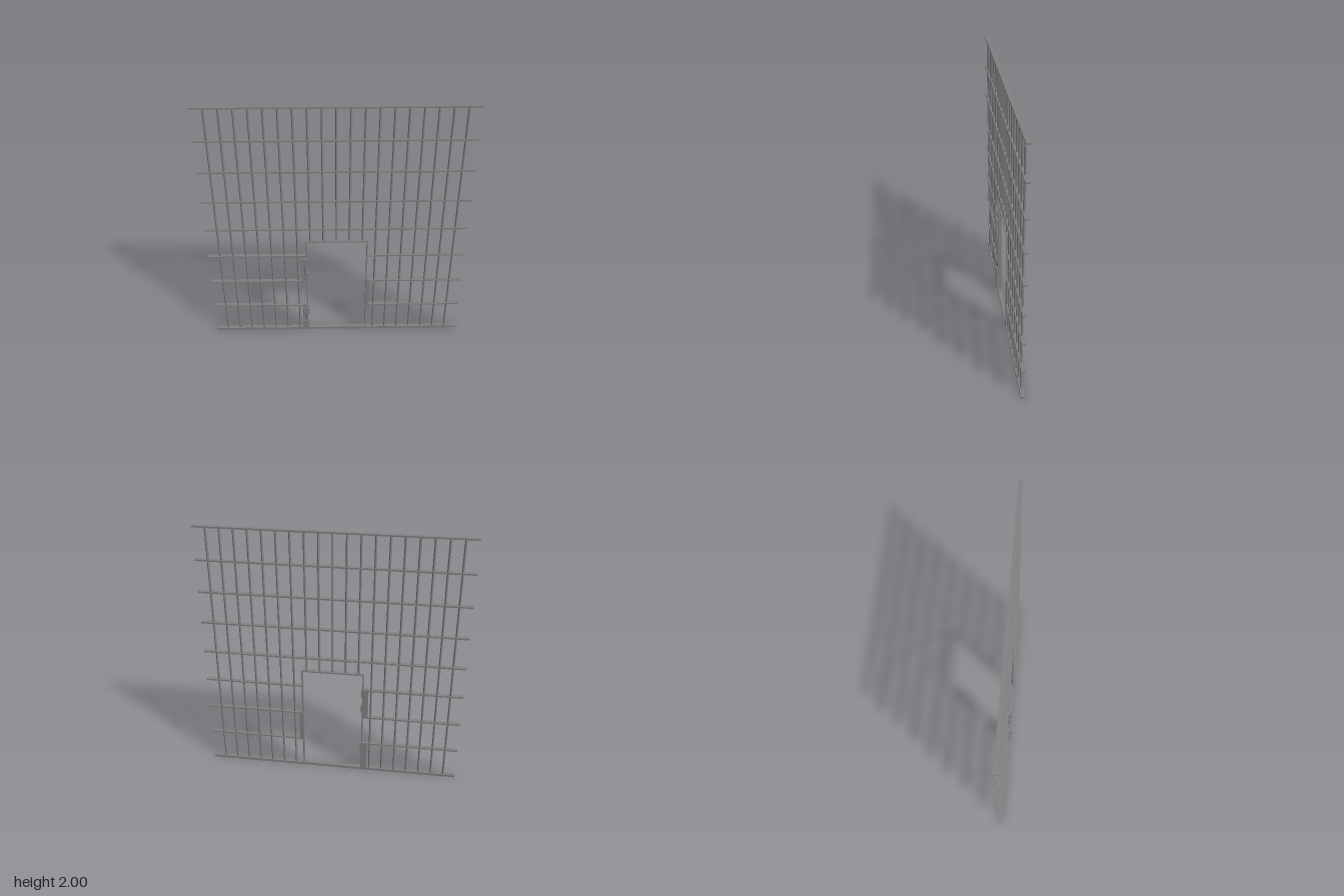
import * as THREE from 'three';

const material = new THREE.MeshStandardMaterial({ color: 0x808080 });
const BACK = -0.024, FRONT = 0.006, MID = (BACK + FRONT) / 2;

// Box given by its extents on each axis
function box(parent, name, x0, x1, y0, y1, z0 = BACK, z1 = FRONT) {
  const mesh = new THREE.Mesh(new THREE.BoxGeometry(x1 - x0, y1 - y0, z1 - z0), material);
  mesh.position.set((x0 + x1) / 2, (y0 + y1) / 2, (z0 + z1) / 2);
  mesh.name = name;
  parent.add(mesh);
}

// Upright round rod
function rod(parent, name, x, y0, y1, z, radius) {
  const mesh = new THREE.Mesh(new THREE.CylinderGeometry(radius, radius, y1 - y0, 12), material);
  mesh.position.set(x, (y0 + y1) / 2, z);
  mesh.name = name;
  parent.add(mesh);
}

// Hinge: two knuckle blocks with bolts, joined by a pin
function hinge(y0, y1) {
  const group = new THREE.Group();
  group.name = 'hinge';
  const blockHeight = 0.066;
  for (const y of [y0, y1 - blockHeight]) {
    box(group, 'hingeBlock', -0.274, -0.219, y, y + blockHeight, FRONT, 0.016);
    const bolt = new THREE.Mesh(new THREE.CylinderGeometry(0.014, 0.014, 0.008, 6), material);
    bolt.rotation.x = Math.PI / 2;
    bolt.position.set(-0.246, y + blockHeight / 2, 0.02);
    bolt.name = 'hingeBolt';
    group.add(bolt);
  }
  rod(group, 'hingePin', -0.24, y0, y1, 0.015, 0.009);
  return group;
}

export function createModel() {
  const model = new THREE.Group();
  model.name = 'barredWall';
  const halfWidth = 0.992, doorHalf = 0.24, doorTop = 0.895, pitch = 0.0997;

  // Sill and horizontal flat rails, the lower ones broken by the doorway
  box(model, 'sill', -halfWidth, halfWidth, 0, 0.02);
  for (let i = 1; i <= 8; i++) {
    const y = 0.012 + i * 0.2478;
    if (y > doorTop) {
      box(model, 'rail', -halfWidth, halfWidth, y - 0.0055, y + 0.0055);
    } else {
      box(model, 'railRight', -halfWidth, -doorHalf, y - 0.0055, y + 0.0055);
      box(model, 'railLeft', doorHalf, halfWidth, y - 0.0055, y + 0.0055);
    }
  }

  // Vertical round bars, short above the doorway
  for (let i = -9; i <= 9; i++) {
    rod(model, 'bar', i * pitch, Math.abs(i) <= 2 ? doorTop - 0.005 : 0.01, 1.995, MID, 0.0085);
  }

  // Door frame
  const frame = new THREE.Group();
  frame.name = 'doorFrame';
  box(frame, 'jambRight', -doorHalf, -doorHalf + 0.01, 0.02, doorTop);
  box(frame, 'jambLeft', doorHalf - 0.01, doorHalf, 0.02, doorTop);
  box(frame, 'lintel', -doorHalf + 0.01, doorHalf - 0.01, doorTop - 0.01, doorTop);
  model.add(frame);

  // Mounting plates beside the doorway
  box(model, 'upperHingePlate', -0.276, -doorHalf, 0.508, 0.755);
  box(model, 'lowerHingePlate', -0.276, -doorHalf, 0.02, 0.26);
  box(model, 'lockPlate', doorHalf, 0.262, 0.26, 0.508);

  model.add(hinge(0.535, 0.735), hinge(0.038, 0.238));
  return model;
}
